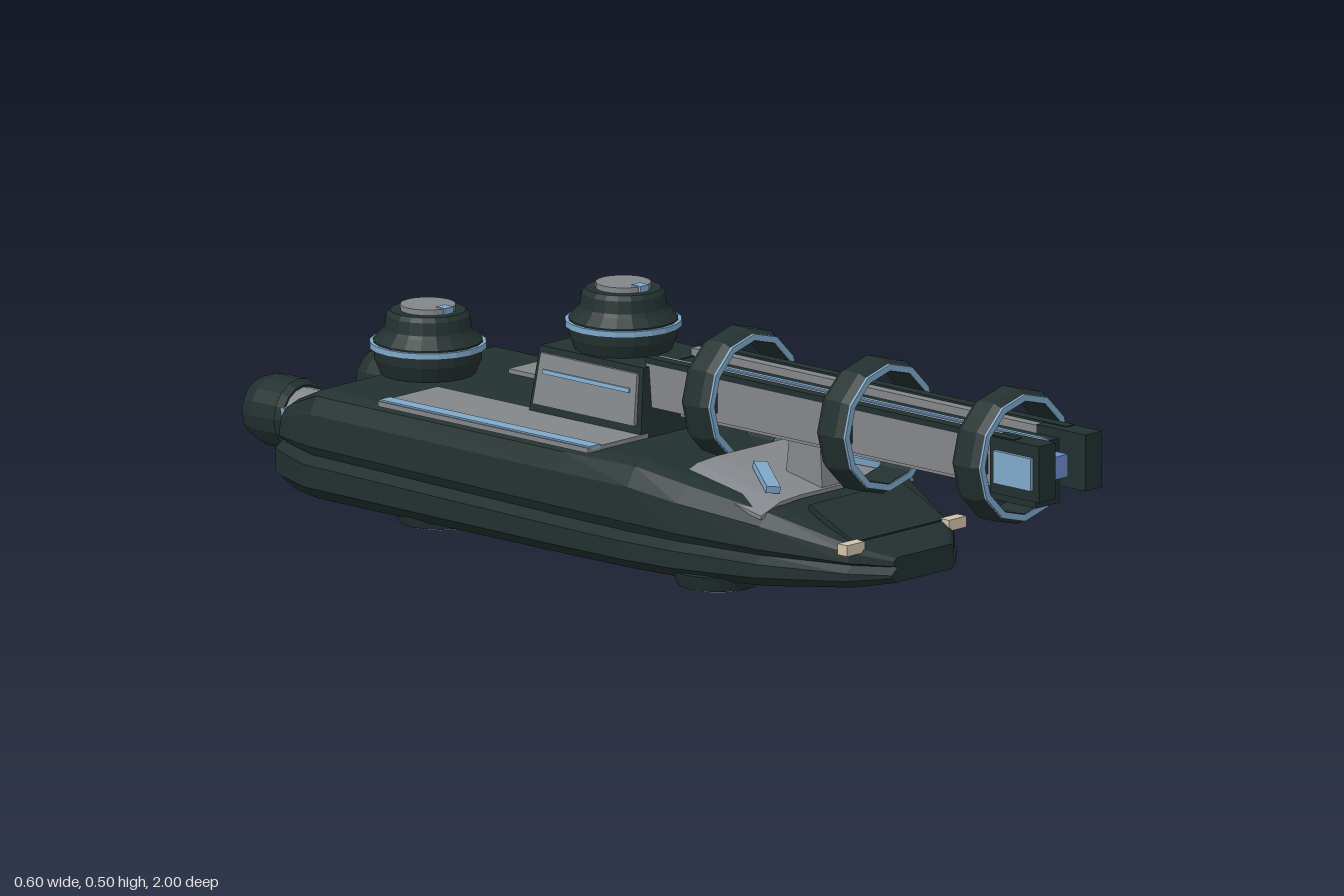
import * as THREE from 'three';

const mat = (name, color, extra = {}) => {
  const m = new THREE.MeshStandardMaterial({ color, flatShading: true, ...extra });
  m.name = name;
  return m;
};

export function createModel() {
  const model = new THREE.Group();
  const dark = mat('dark hull', 0x22302f);
  const gray = mat('gray panel', 0x83868a);
  const sky = mat('light blue trim', 0x7fa8c9);
  const glow = mat('blue glow', 0x6c8bcb);
  const cream = mat('cream lamp', 0xd2c3ab);

  const add = (name, geo, material, x = 0, y = 0, z = 0, parent = model) => {
    const m = new THREE.Mesh(geo, material);
    m.name = name;
    m.position.set(x, y, z);
    parent.add(m);
    return m;
  };
  // box given by its extents
  const box = (name, material, x0, x1, y0, y1, z0, z1) =>
    add(name, new THREE.BoxGeometry(x1 - x0, y1 - y0, z1 - z0), material,
      (x0 + x1) / 2, (y0 + y1) / 2, (z0 + z1) / 2);
  // box whose top shrinks by the given factors
  const taperBox = (w, h, d, sx, sz) => {
    const g = new THREE.BoxGeometry(w, h, d), p = g.attributes.position;
    for (let i = 0; i < p.count; i++)
      if (p.getY(i) > 0) p.setXYZ(i, p.getX(i) * sx, p.getY(i), p.getZ(i) * sz);
    return g;
  };
  const lathe = (pts, n) => new THREE.LatheGeometry(pts.map(([r, y]) => new THREE.Vector2(r, y)), n);

  // Hull: lofted cross-sections [z, lower half-width, upper half-width, deck half-width, bottom, seam, deck]
  const stations = [
    [0.61, 0.09, 0.085, 0.07, 0.05, 0.08, 0.1],
    [0.55, 0.155, 0.15, 0.12, 0.04, 0.085, 0.125],
    [0.38, 0.235, 0.225, 0.17, 0.027, 0.09, 0.18],
    [0.2, 0.28, 0.268, 0.2, 0.02, 0.095, 0.213],
    [0.08, 0.295, 0.28, 0.225, 0.02, 0.097, 0.235],
    [-0.1, 0.3, 0.285, 0.24, 0.02, 0.1, 0.235],
    [-0.76, 0.3, 0.285, 0.24, 0.02, 0.11, 0.235],
    [-0.845, 0.27, 0.262, 0.22, 0.02, 0.115, 0.198],
    [-0.875, 0.255, 0.245, 0.21, 0.025, 0.115, 0.18],
  ];
  const rings = stations.map(([z, wl, wu, wt, yb, ys, yt]) => {
    const h = yt - ys;
    const half = [
      [wl * 0.85, yb], [wl, yb + (ys - yb) * 0.35], [wl, ys - 0.014], [wu - 0.012, ys],
      [wu, ys + h * 0.15], [wu * 0.98, ys + h * 0.65], [(wu + wt) / 2, ys + h * 0.92], [wt, yt],
    ];
    return [...half, ...half.slice().reverse().map(([x, y]) => [-x, y])].map(([x, y]) => [x, y, z]);
  });
  const tri = [], n = rings[0].length;
  for (let i = 0; i < rings.length - 1; i++) {
    for (let j = 0; j < n; j++) {
      const k = (j + 1) % n, a = rings[i], b = rings[i + 1];
      tri.push(a[j], b[j], a[k], a[k], b[j], b[k]);
    }
  }
  const nose = rings[0], stern = rings[rings.length - 1];
  for (let j = 1; j < n - 1; j++) {
    tri.push(nose[0], nose[j], nose[j + 1], stern[0], stern[j + 1], stern[j]);
  }
  const hullGeo = new THREE.BufferGeometry();
  hullGeo.setAttribute('position', new THREE.Float32BufferAttribute(tri.flat(), 3));
  hullGeo.computeVertexNormals();
  add('hull', hullGeo, dark);
  box('sternBlock', dark, -0.09, 0.09, 0.09, 0.175, -0.905, -0.86);

  // Sloped hood panel bent down at its sides
  const hoodGeo = new THREE.BoxGeometry(0.43, 0.008, 0.22, 8, 1, 2);
  const hp = hoodGeo.attributes.position;
  for (let i = 0; i < hp.count; i++) {
    const drop = Math.max(0, Math.abs(hp.getX(i)) - 0.15) * 0.35;
    hp.setY(i, hp.getY(i) - drop - hp.getZ(i) * 0.19);
  }
  add('hoodPanel', hoodGeo, gray, 0, 0.208, 0.27);
  const flap = add('noseFlap', new THREE.BoxGeometry(0.26, 0.012, 0.13), dark, 0, 0.152, 0.485);
  flap.rotation.x = 0.43;

  for (const s of [-1, 1]) {
    const strip = add('hoodStrip', new THREE.BoxGeometry(0.028, 0.014, 0.13), sky, s * 0.115, 0.215, 0.3);
    strip.rotation.set(0.19, s * 0.6, 0, 'XYZ');
    add('headlight', new THREE.BoxGeometry(0.05, 0.022, 0.025), cream, s * 0.143, 0.121, 0.552);

    // Deck panels with trim rails
    add('deckPanel', new THREE.BoxGeometry(0.168, 0.01, 0.56), gray, s * 0.184, 0.239, -0.31);
    add('deckTrim', new THREE.BoxGeometry(0.03, 0.008, 0.56), sky, s * 0.249, 0.243, -0.31);

    // Rear engines
    const engine = new THREE.Group();
    engine.name = 'engine';
    engine.position.set(s * 0.16, 0.147, -0.85);
    engine.rotation.x = -Math.PI / 2;
    model.add(engine);
    add('engineCollar', new THREE.CylinderGeometry(0.056, 0.056, 0.07, 16), gray, 0, 0.02, 0, engine);
    for (const t of [-1, 1])
      add('collarTrim', new THREE.BoxGeometry(0.02, 0.06, 0.05), sky, t * 0.05, 0.02, 0, engine);
    add('engineShell', lathe([[0, 0.04], [0.06, 0.04], [0.071, 0.052], [0.071, 0.115], [0.06, 0.147], [0, 0.147]], 16),
      dark, 0, 0, 0, engine);
    add('engineGlow', new THREE.CylinderGeometry(0.054, 0.054, 0.006, 16), glow, 0, 0.147, 0, engine);

    // Hover pads beneath
    for (const z of [0.23, -0.51]) {
      add('hoverPad', new THREE.CylinderGeometry(0.09, 0.08, 0.03, 16), dark, s * 0.178, 0.02, z);
      add('hoverGlow', new THREE.CylinderGeometry(0.067, 0.067, 0.006, 16), glow, s * 0.178, 0.003, z);
    }
  }

  // Turret housing with side panels and stripes
  add('turretHousing', taperBox(0.24, 0.14, 0.3, 0.83, 0.92), dark, 0, 0.302, -0.18);
  add('turretSidePanel', taperBox(0.248, 0.1, 0.27, 0.87, 0.95), gray, 0, 0.31, -0.18);
  add('turretStripe', taperBox(0.236, 0.008, 0.23, 0.985, 1), sky, 0, 0.326, -0.18);

  // Domes
  const dome = (y, z) => {
    const g = new THREE.Group();
    g.name = 'dome';
    g.position.set(0, y, z);
    model.add(g);
    add('domeBase', lathe([[0, 0], [0.093, 0], [0.105, 0.03], [0.107, 0.065], [0.09, 0.083],
      [0.086, 0.09], [0.082, 0.115], [0.074, 0.124], [0, 0.124]], 20), dark, 0, 0, 0, g);
    add('domeRing', new THREE.CylinderGeometry(0.114, 0.114, 0.012, 20), sky, 0, 0.056, 0, g);
    add('domeCap', new THREE.CylinderGeometry(0.054, 0.054, 0.014, 20), gray, 0, 0.128, 0, g);
    add('domeMark', new THREE.BoxGeometry(0.024, 0.013, 0.024), sky, 0, 0.13, 0.045, g);
  };
  dome(0.367, -0.19);
  dome(0.236, -0.71);

  // Gun: core, rails, muzzle prongs
  box('gunCore', dark, -0.045, 0.045, 0.285, 0.37, -0.05, 0.93);
  box('gunUnderside', gray, -0.04, 0.04, 0.272, 0.287, 0.0, 0.9);
  box('gunStripe', sky, -0.005, 0.005, 0.37, 0.378, 0, 0.93);
  box('gunChannel', glow, -0.014, 0.014, 0.369, 0.375, 0, 0.93);
  box('muzzleCore', glow, -0.02, 0.02, 0.305, 0.35, 0.92, 0.975);
  box('muzzleBase', dark, -0.033, 0.033, 0.245, 0.305, 0.8, 0.94);
  for (const s of [-1, 1]) {
    const rail = (name, m, a, b, ...r) => box(name, m, Math.min(s * a, s * b), Math.max(s * a, s * b), ...r);
    rail('gunRail', gray, 0.042, 0.084, 0.292, 0.386, -0.05, 0.93);
    rail('railTop', dark, 0.063, 0.086, 0.378, 0.39, -0.05, 0.93);
    rail('muzzleProng', dark, 0.042, 0.089, 0.276, 0.388, 0.87, 1);
    rail('prongPanel', sky, 0.088, 0.097, 0.298, 0.363, 0.885, 0.985);
  }
  add('gunSupport', taperBox(0.075, 0.11, 0.1, 0.9, 0.8), gray, 0, 0.238, 0.325);

  // Twelve-sided hoops round the gun
  const hoopGeo = lathe([[0.112, -0.037], [0.124, -0.037], [0.135, -0.02], [0.135, 0.02],
    [0.124, 0.037], [0.112, 0.037], [0.112, -0.037]], 12).rotateX(Math.PI / 2);
  const faceGeo = lathe([[0.113, 0.036], [0.127, 0.036], [0.126, 0.04], [0.113, 0.04], [0.113, 0.036]], 12)
    .rotateX(Math.PI / 2);
  for (const z of [0.84, 0.48, 0.12]) {
    add('gunHoop', hoopGeo, dark, 0, 0.33, z);
    add('hoopTrim', faceGeo, sky, 0, 0.33, z);
    for (const s of [-1, 1])
      add('hoopBracket', new THREE.BoxGeometry(0.035, 0.05, 0.04), dark, s * 0.1, 0.335, z);
  }
  return model;
}
